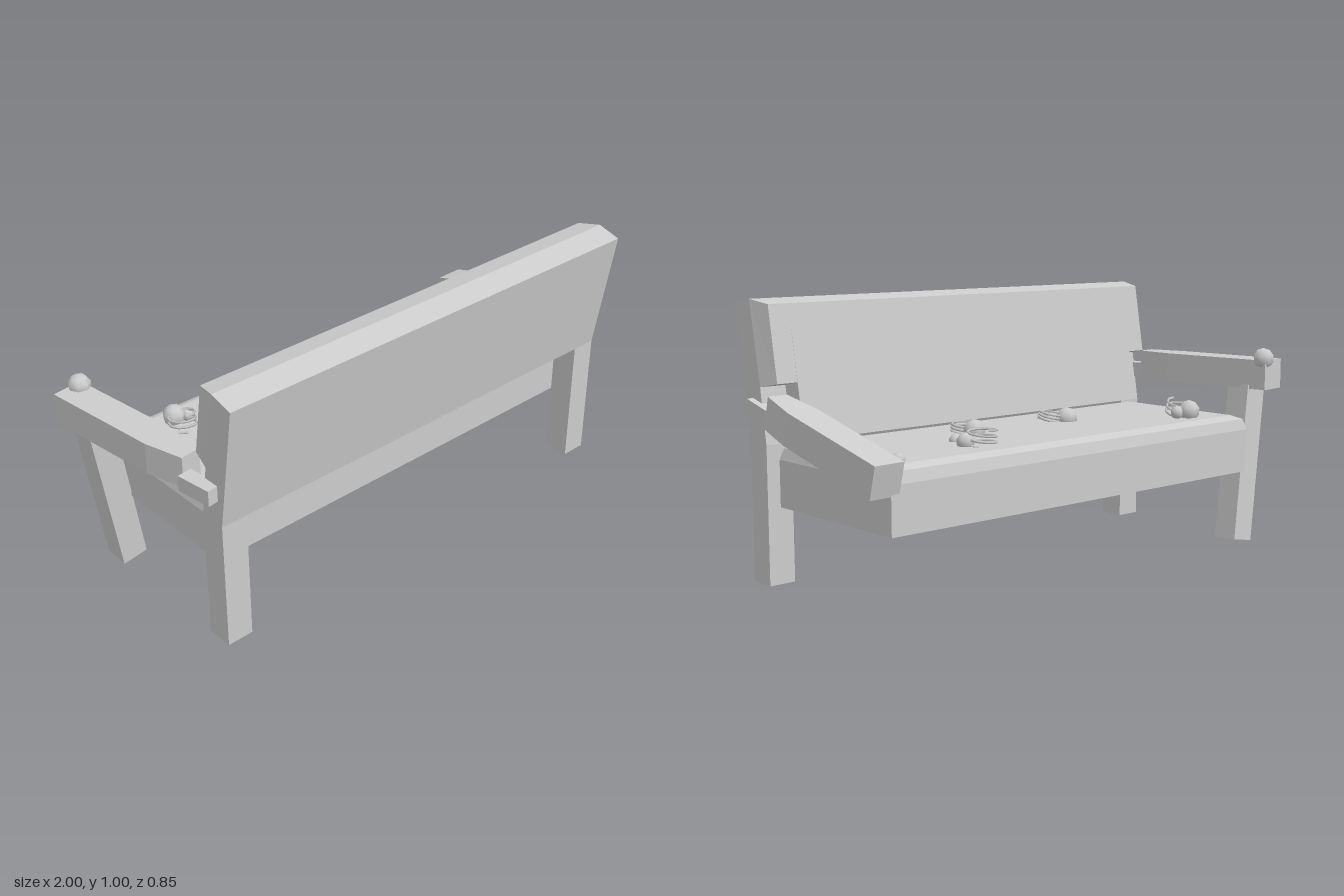
import * as THREE from 'three';

const flat = new THREE.MeshStandardMaterial({ color: 0xcccccc, flatShading: true });
const smooth = new THREE.MeshStandardMaterial({ color: 0xcccccc });
const thin = new THREE.MeshStandardMaterial({ color: 0xcccccc, side: THREE.DoubleSide });

function mesh(name, geometry, material = flat) {
  const m = new THREE.Mesh(geometry, material);
  m.name = name;
  return m;
}

// Apply a rule to every vertex of a geometry
function moveVertices(geometry, rule) {
  const p = geometry.attributes.position;
  const v = new THREE.Vector3();
  for (let i = 0; i < p.count; i++) {
    rule(v.fromBufferAttribute(p, i));
    p.setXYZ(i, v.x, v.y, v.z);
  }
  geometry.computeVertexNormals();
  return geometry;
}

// Side profile of [z, y] points, extruded from x0 to x1
function slab(profile, x0, x1) {
  const shape = new THREE.Shape(profile.map(([z, y]) => new THREE.Vector2(z, y)));
  return new THREE.ExtrudeGeometry(shape, { depth: x1 - x0, bevelEnabled: false })
    .rotateY(-Math.PI / 2).translate(x1, 0, 0);
}

// Box from z0 to z1 whose half width changes from w0 to w1
function taperBox(z0, z1, w0, w1, height, shift = 0) {
  const g = new THREE.BoxGeometry(2, height, z1 - z0).translate(0, height / 2, (z0 + z1) / 2);
  return moveVertices(g, (v) => {
    v.x = v.x * (v.z > (z0 + z1) / 2 ? w1 : w0) + shift;
  });
}

// Armrest with a tapered rear and a half-height tenon
function makeArm(name, tenonShift) {
  const arm = new THREE.Group();
  arm.name = name;
  arm.add(mesh('armBeam', taperBox(-0.61, -0.15, 0.058, 0.06, 0.115)));
  arm.add(mesh('armRear', taperBox(-0.15, 0, 0.06, 0.038, 0.115)));
  arm.add(mesh('armTenon', taperBox(0, 0.135, 0.028, 0.026, 0.058, tenonShift)));
  return arm;
}

// Seat block with a two-step softened top edge
function seatGeometry() {
  const rings = [[0.29, 0], [0.455, 0], [0.495, 0.012], [0.51, 0.045]];
  const g = new THREE.BoxGeometry(1.72, 3, 0.63, 1, 3, 1);
  return moveVertices(g, (v) => {
    const [y, inset] = rings[Math.round(v.y + 1.5)];
    v.set(v.x - Math.sign(v.x) * inset + 0.04, y, v.z - Math.sign(v.z) * inset - 0.065);
  });
}

// Leaning coil spring
function springGeometry(radius, height, turns) {
  const points = [];
  for (let i = 0; i <= turns * 7; i++) {
    const a = (i / 7) * Math.PI * 2;
    const t = i / (turns * 7);
    points.push(new THREE.Vector3(Math.cos(a) * radius, t * height, Math.sin(a) * radius));
  }
  return new THREE.TubeGeometry(new THREE.CatmullRomCurve3(points), turns * 10, 0.005, 4);
}

export function createModel() {
  const model = new THREE.Group();
  model.name = 'brokenSofa';
  model.add(mesh('seat', seatGeometry()));

  // Backrest core and the two notched ends
  const core = [[0.35, 0.51], [0.425, 0.975], [0.335, 1], [0.25, 0.985], [0.17, 0.525], [0.25, 0.51]];
  const notched = [[0.35, 0.51], [0.425, 0.975], [0.335, 1], [0.25, 0.985], [0.205, 0.72], [0.28, 0.705], [0.25, 0.51]];
  const backrest = new THREE.Group();
  backrest.name = 'backrest';
  backrest.add(mesh('backrestPanel', slab(core, -0.77, 0.85)));
  for (const side of [-1, 1]) {
    const inner = 0.04 + side * 0.81;
    const outer = 0.04 + side * 0.91;
    const end = slab(notched, Math.min(inner, outer), Math.max(inner, outer));
    moveVertices(end, (v) => {
      if (Math.abs(v.x - outer) < 0.01 && v.z < 0.26 && v.y > 0.6) v.x -= side * 0.02;
    });
    backrest.add(mesh('backrestEnd', end));

    const leg = mesh('rearLeg', new THREE.BoxGeometry(0.1, 0.49, 0.1));
    leg.position.set(0.04 + side * 0.86, 0.265, 0.3);
    model.add(leg);
  }
  model.add(backrest);

  // Leaning front leg; the opposite one is missing
  const frontLeg = mesh('frontLeg', new THREE.BoxGeometry(0.1, 0.61, 0.1).translate(0, 0.305, 0));
  frontLeg.position.set(-0.82, 0.011, -0.322);
  frontLeg.rotation.set(0.05, 0, 0.165);
  model.add(frontLeg);

  // Standing arm and fallen arm
  const rightArm = makeArm('standingArm', -0.032);
  rightArm.position.set(-0.868, 0.605, 0.2);
  rightArm.rotation.y = 0.12;
  const leftArm = makeArm('fallenArm', 0);
  leftArm.position.set(0.945, 0.574, 0.21);
  leftArm.rotation.set(-0.257, 0.033, 0);
  model.add(rightArm, leftArm);

  // Stuffing lumps: x, y, z, radius
  const lumps = [
    [-0.905, 0.725, -0.385, 0.042],
    [-0.61, 0.535, -0.265, 0.042], [-0.565, 0.53, -0.245, 0.026],
    [0.46, 0.525, -0.21, 0.032], [0.42, 0.512, -0.11, 0.025],
    [-0.2, 0.52, -0.015, 0.042], [-0.225, 0.515, 0.03, 0.025],
    [0.26, 0.52, -0.02, 0.042], [0.215, 0.512, 0.115, 0.025],
    [0.8, 0.512, -0.285, 0.025],
  ];
  for (const [x, y, z, r] of lumps) {
    const lump = mesh('stuffing', new THREE.SphereGeometry(r, 7, 5), smooth);
    lump.position.set(x, y, z);
    model.add(lump);
  }

  // Springs poking through torn spots: x, z, radius, height
  for (const [x, z, r, h] of [
    [-0.61, -0.21, 0.05, 0.06], [0.41, -0.235, 0.05, 0.06],
    [-0.16, 0.035, 0.046, 0.035], [0.25, 0.04, 0.054, 0.035],
  ]) {
    const spring = mesh('spring', springGeometry(r, h, 3), smooth);
    spring.position.set(x, 0.508, z);
    spring.rotation.set(-0.12, x * 3, 0.08);
    const tear = mesh('seatTear', new THREE.CircleGeometry(r + 0.008, 7).rotateX(-Math.PI / 2), thin);
    tear.position.set(x, 0.512, z);
    model.add(spring, tear);
  }

  // Worn patches lying on the sloped backrest front: x, y, half width, half height
  for (const [x, y, w, h] of [[0.5, 0.725, 0.11, 0.13], [-0.335, 0.67, 0.065, 0.09], [-0.63, 0.79, 0.08, 0.1]]) {
    const patch = mesh('wornPatch', new THREE.CircleGeometry(1, 7).scale(w, h, 1).rotateY(Math.PI), thin);
    patch.position.set(x, y, 0.167 + (y - 0.525) * 0.174);
    patch.rotation.x = Math.atan(0.174);
    model.add(patch);
  }
  return model;
}
